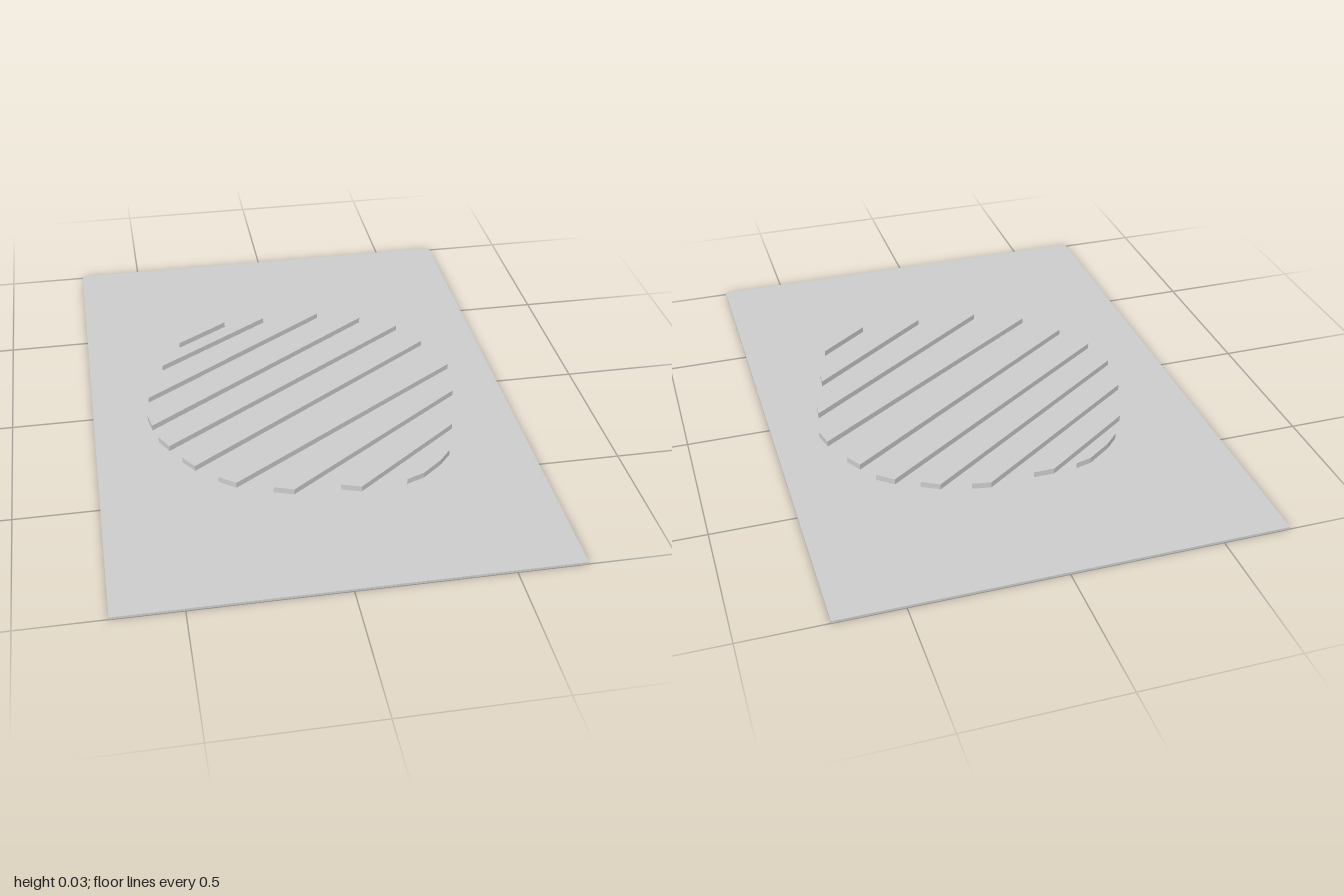
import * as THREE from 'three';

const PLATE_TOP = 0.008;
const RIDGE_HEIGHT = 0.02;

// Outlines of the slanted ridges as [x, z] corners, from back to front
const RIDGES = [
  [[-0.385, -0.4], [-0.34, -0.445], [-0.255, -0.505], [-0.2, -0.52]],
  [[-0.46, -0.257], [-0.44, -0.304], [-0.12, -0.526], [-0.05, -0.526]],
  [[-0.526, -0.06], [-0.51, -0.12], [0.098, -0.537], [0.16, -0.526]],
  [[-0.537, 0.045], [0.257, -0.5], [0.315, -0.468], [-0.526, 0.108]],
  [[-0.51, 0.177], [0.39, -0.431], [0.442, -0.389], [-0.479, 0.235]],
  [[-0.442, 0.304], [0.479, -0.32], [0.51, -0.267], [-0.405, 0.357]],
  [[-0.336, 0.426], [0.553, -0.161], [0.569, -0.098], [-0.283, 0.468]],
  [[-0.167, 0.51], [0.548, 0.013], [0.542, 0.071], [-0.103, 0.532]],
  [[0.05, 0.532], [0.495, 0.209], [0.489, 0.267], [0.114, 0.553]],
  [[0.267, 0.54], [0.442, 0.41], [0.4, 0.458], [0.33, 0.515]],
];

export function createModel() {
  const model = new THREE.Group();
  model.name = 'ridgedPlate';
  const material = new THREE.MeshStandardMaterial({ color: 0xcccccc, flatShading: true });

  // Thin base plate
  const plate = new THREE.Mesh(new THREE.BoxGeometry(1.445, PLATE_TOP, 2), material);
  plate.name = 'basePlate';
  plate.position.y = PLATE_TOP / 2;
  model.add(plate);

  // Raised ridges that together fill a disc
  const ridges = new THREE.Group();
  ridges.name = 'ridges';
  RIDGES.forEach((outline, i) => {
    const shape = new THREE.Shape(outline.map(([x, z]) => new THREE.Vector2(x, -z)));
    const geometry = new THREE.ExtrudeGeometry(shape, { depth: RIDGE_HEIGHT, bevelEnabled: false });
    geometry.rotateX(-Math.PI / 2);
    const ridge = new THREE.Mesh(geometry, material);
    ridge.name = `ridge${i + 1}`;
    ridge.position.y = PLATE_TOP;
    ridges.add(ridge);
  });
  model.add(ridges);

  return model;
}
